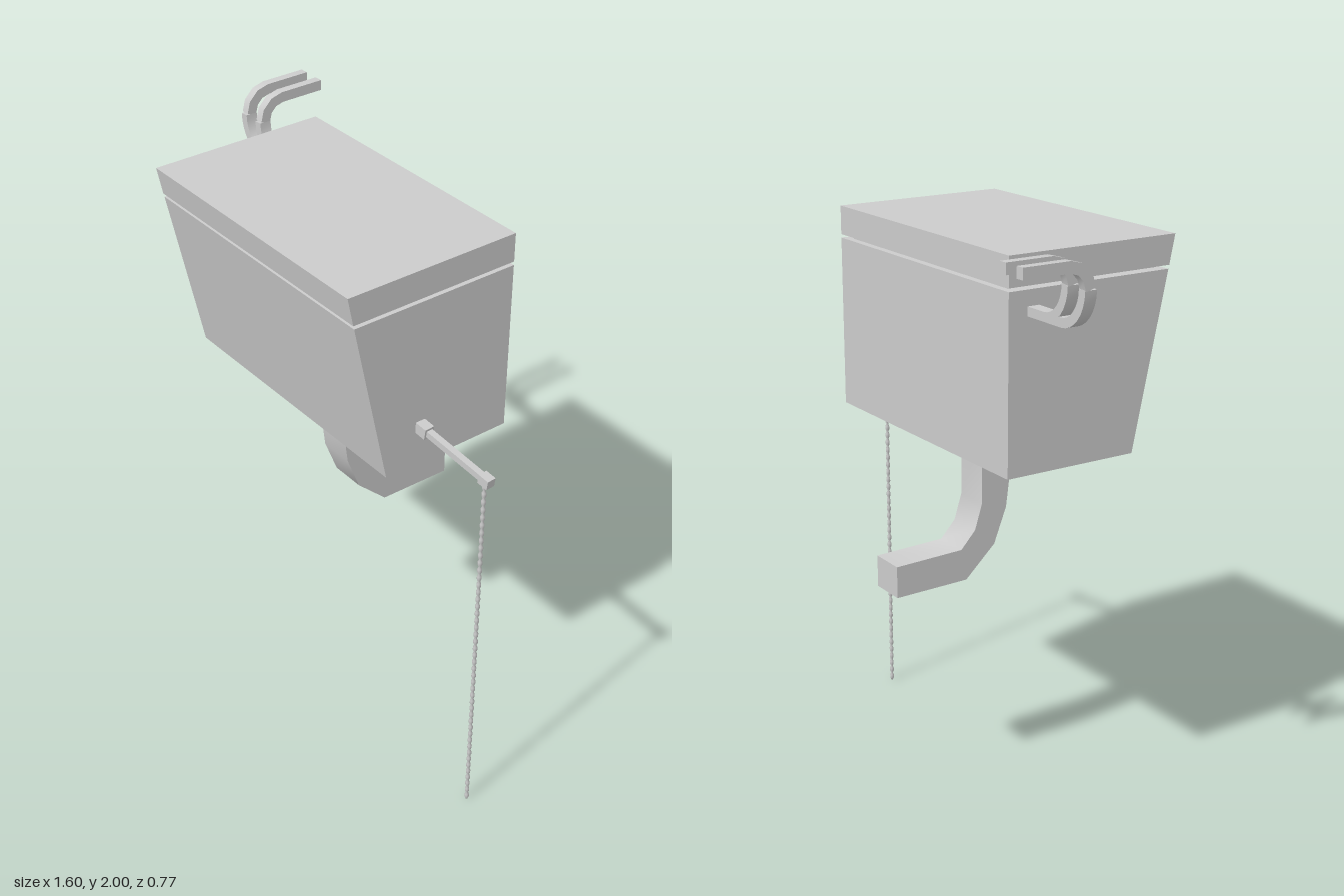
import * as THREE from 'three';
import { toCreasedNormals, mergeGeometries } from 'three/addons/utils/BufferGeometryUtils.js';

const material = new THREE.MeshStandardMaterial({ color: 0xcccccc });

function mesh(name, geometry) {
  const m = new THREE.Mesh(geometry, material);
  m.name = name;
  return m;
}

// Extrude an outline of [x, y] points between z0 and z1
function extrudeXY(points, z0, z1) {
  const shape = new THREE.Shape(points.map(([x, y]) => new THREE.Vector2(x, y)));
  const g = new THREE.ExtrudeGeometry(shape, { depth: z1 - z0, bevelEnabled: false });
  return toCreasedNormals(g.translate(0, 0, z0), 0.9);
}

// Extrude a side outline of [z, y] points between x0 and x1
function extrudeZY(points, x0, x1) {
  return extrudeXY(points.map(([z, y]) => [-z, y]), x0, x1).rotateY(Math.PI / 2);
}

// Outline of a constant-width band along a path, with mitred corners
function band(path, width) {
  const p = path.map(([a, b]) => new THREE.Vector2(a, b));
  const left = [], right = [];
  p.forEach((pt, i) => {
    const d0 = p[Math.max(i, 1)].clone().sub(p[Math.max(i, 1) - 1]).normalize();
    const j = Math.min(i, p.length - 2);
    const d1 = p[j + 1].clone().sub(p[j]).normalize();
    const n = d0.clone().add(d1).normalize();
    const k = width / 2 / n.dot(d1);
    left.push([pt.x - n.y * k, pt.y + n.x * k]);
    right.unshift([pt.x + n.y * k, pt.y - n.x * k]);
  });
  return left.concat(right);
}

// Points of a quarter ellipse around (cx, cy) from angle a0 to a1
function arc(cx, cy, rx, ry, a0, a1, steps) {
  return Array.from({ length: steps + 1 }, (_, i) => {
    const a = a0 + (a1 - a0) * i / steps;
    return [cx + rx * Math.cos(a), cy + ry * Math.sin(a)];
  });
}

// Square pipe: out of the tank side, curving up, then bending backwards
function supplyPipe(x) {
  const y = 1.795, top = 1.983, bend = 1.91, half = Math.PI / 2;
  const rise = [[-0.51, y], ...arc(x + 0.1, y + 0.115, 0.1, 0.115, -half, -2 * half, 8)];
  const back = [...arc(-0.225, bend, 0.073, top - bend, 0, half, 3), [-0.387, top]];
  return mergeGeometries([
    extrudeXY(band(rise, 0.03), -0.172, -0.13),
    extrudeZY(band(back, 0.036), x - 0.015, x + 0.015),
  ]);
}

export function createModel() {
  const model = new THREE.Group();
  model.name = 'highLevelCistern';
  const x0 = -0.52, x1 = 0.488;

  // Tank with sloping front, recessed seam and lid
  model.add(mesh('tank', extrudeZY([[-0.24, 1.278], [0.24, 1.278], [0.364, 1.861], [-0.24, 1.861]], x0, x1)));
  model.add(mesh('seam', extrudeZY([[-0.215, 1.855], [0.34, 1.855], [0.342, 1.88], [-0.215, 1.88]], x0 + 0.042, x1 - 0.042)));
  model.add(mesh('lid', extrudeZY([[-0.24, 1.873], [0.367, 1.873], [0.387, 1.97], [-0.24, 1.97]], x0, x1)));

  // Flush pipe under the tank, bending to the back
  model.add(mesh('flushPipe', extrudeZY([
    [0.072, 1.285], [0.07, 1.11], [0.056, 1.0], [0.008, 0.875], [-0.106, 0.768], [-0.378, 0.763],
    [-0.378, 0.873], [-0.125, 0.88], [-0.07, 0.94], [-0.042, 1.03], [-0.042, 1.285],
  ], -0.08, 0.048)));

  // Pair of water pipes
  model.add(mesh('innerSupplyPipe', supplyPipe(-0.704)));
  model.add(mesh('outerSupplyPipe', supplyPipe(-0.787)));

  // Lever arm with a block at each end
  const start = new THREE.Vector3(0.505, 1.415, 0.108);
  const end = new THREE.Vector3(0.778, 1.374, 0.09);
  const along = end.clone().sub(start);
  const tilt = new THREE.Quaternion().setFromUnitVectors(new THREE.Vector3(1, 0, 0), along.clone().normalize());
  const lever = new THREE.Group();
  lever.name = 'lever';
  [
    ['leverPivot', [0.046, 0.038, 0.036], start],
    ['leverArm', [along.length(), 0.022, 0.022], start.clone().lerp(end, 0.5)],
    ['leverEnd', [0.04, 0.032, 0.032], end],
  ].forEach(([name, size, position]) => {
    const part = mesh(name, new THREE.BoxGeometry(...size));
    part.position.copy(position);
    part.quaternion.copy(tilt);
    lever.add(part);
  });
  model.add(lever);

  // Beaded pull chain
  const beads = 46, pitch = 1.365 / beads;
  const profile = [new THREE.Vector2(0, 0)];
  for (let i = 0; i < beads; i++) {
    profile.push(new THREE.Vector2(0.004, i * pitch));
    profile.push(new THREE.Vector2(0.0075, (i + 0.3) * pitch));
    profile.push(new THREE.Vector2(0.0075, (i + 0.7) * pitch));
  }
  profile.push(new THREE.Vector2(0, beads * pitch));
  const chain = mesh('pullChain', new THREE.LatheGeometry(profile, 8));
  chain.position.set(0.774, 0, 0.093);
  model.add(chain);

  return model;
}
